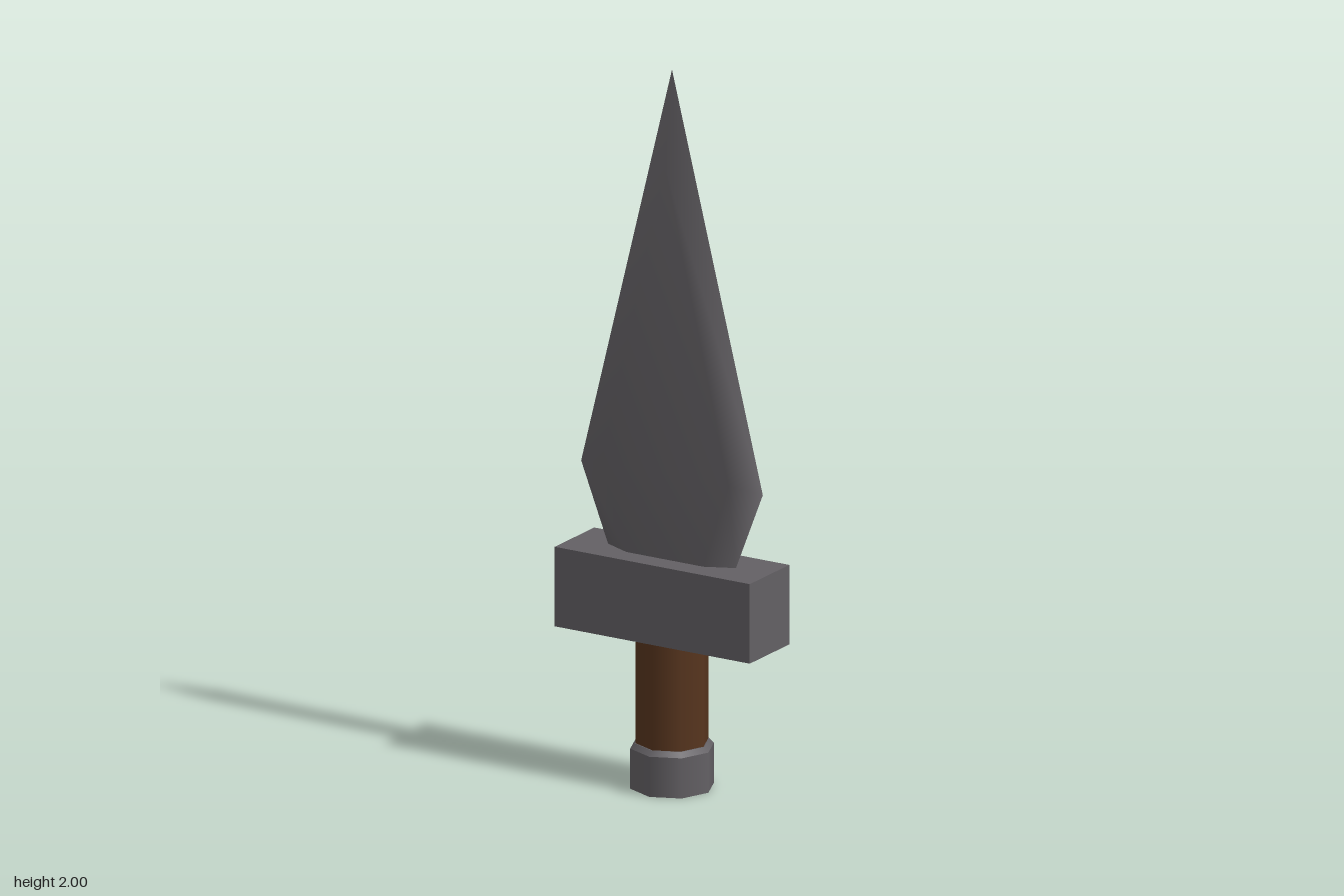
import * as THREE from 'three';

const steel = new THREE.MeshStandardMaterial({ color: 0x636064 });
steel.name = 'steel';
const leather = new THREE.MeshStandardMaterial({ color: 0x57351e });
leather.name = 'brown leather';

// Bevelled leaf blade: an outer edge line in the middle plane, a flat face on each side
function bladeGeometry() {
  const outer = [[0.2, 0.64], [0.285, 0.86], [0, 2], [-0.285, 0.86], [-0.2, 0.64]];
  const inner = [[0.12, 0.64], [0.2, 0.88], [0, 1.74], [-0.2, 0.88], [-0.12, 0.64]];
  const half = 0.036;
  const positions = [];
  outer.forEach(([x, y]) => positions.push(x, y, 0));
  for (const z of [half, -half]) inner.forEach(([x, y]) => positions.push(x, y, z));

  const index = [];
  for (const side of [1, -1]) {
    const base = side > 0 ? 5 : 10;
    const tri = (a, b, c) => (side > 0 ? index.push(a, b, c) : index.push(a, c, b));
    for (let k = 0; k < 4; k++) {
      tri(k, k + 1, base + k + 1);
      tri(k, base + k + 1, base + k);
    }
    tri(base, base + 1, base + 3);
    tri(base, base + 3, base + 4);
    tri(base + 1, base + 2, base + 3);
  }
  const geometry = new THREE.BufferGeometry();
  geometry.setAttribute('position', new THREE.Float32BufferAttribute(positions, 3));
  geometry.setIndex(index);
  geometry.computeVertexNormals();
  return geometry;
}

export function createModel() {
  const group = new THREE.Group();
  const add = (name, geometry, material, y = 0) => {
    const mesh = new THREE.Mesh(geometry, material);
    mesh.name = name;
    mesh.position.y = y;
    group.add(mesh);
  };
  // Eight-sided upright section from y0 to y1
  const octagon = (name, material, rBottom, rTop, y0, y1) =>
    add(name, new THREE.CylinderGeometry(rTop, rBottom, y1 - y0, 8), material, (y0 + y1) / 2);

  add('blade', bladeGeometry(), steel);
  add('guard', new THREE.BoxGeometry(0.612, 0.222, 0.198), steel, 0.531);
  octagon('grip', leather, 0.099, 0.099, 0.1, 0.43);
  octagon('pommel', steel, 0.114, 0.114, 0, 0.112);
  octagon('pommelBevel', steel, 0.114, 0.102, 0.112, 0.126);
  return group;
}
